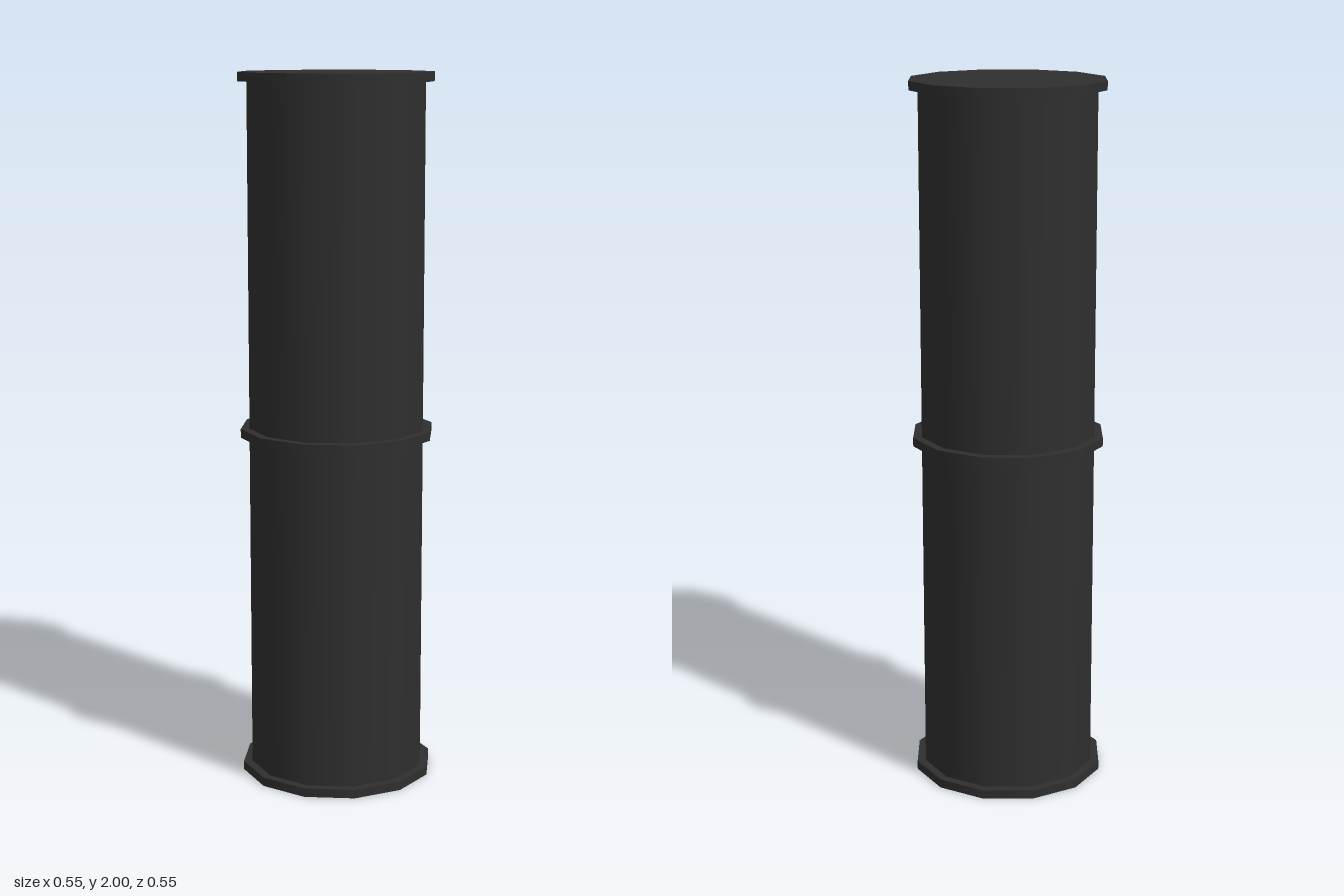
import * as THREE from 'three';

const SIDES = 12;

export function createModel() {
  const group = new THREE.Group();
  group.name = 'pipe';

  const darkMetal = new THREE.MeshStandardMaterial({ color: 0x2f2f2f });
  darkMetal.name = 'darkMetal';

  const addCylinder = (name, radius, height, y) => {
    const mesh = new THREE.Mesh(
      new THREE.CylinderGeometry(radius, radius, height, SIDES), darkMetal);
    mesh.name = name;
    mesh.position.y = y;
    group.add(mesh);
  };

  // Main tube, ending just inside the end collars
  addCylinder('tube', 0.25, 1.98, 1);

  // Flat collars at the two ends and the middle
  const collarHeight = 0.025;
  addCylinder('bottomCollar', 0.275, collarHeight, collarHeight / 2);
  addCylinder('middleCollar', 0.275, collarHeight, 1);
  addCylinder('topCollar', 0.275, collarHeight, 2 - collarHeight / 2);

  return group;
}
